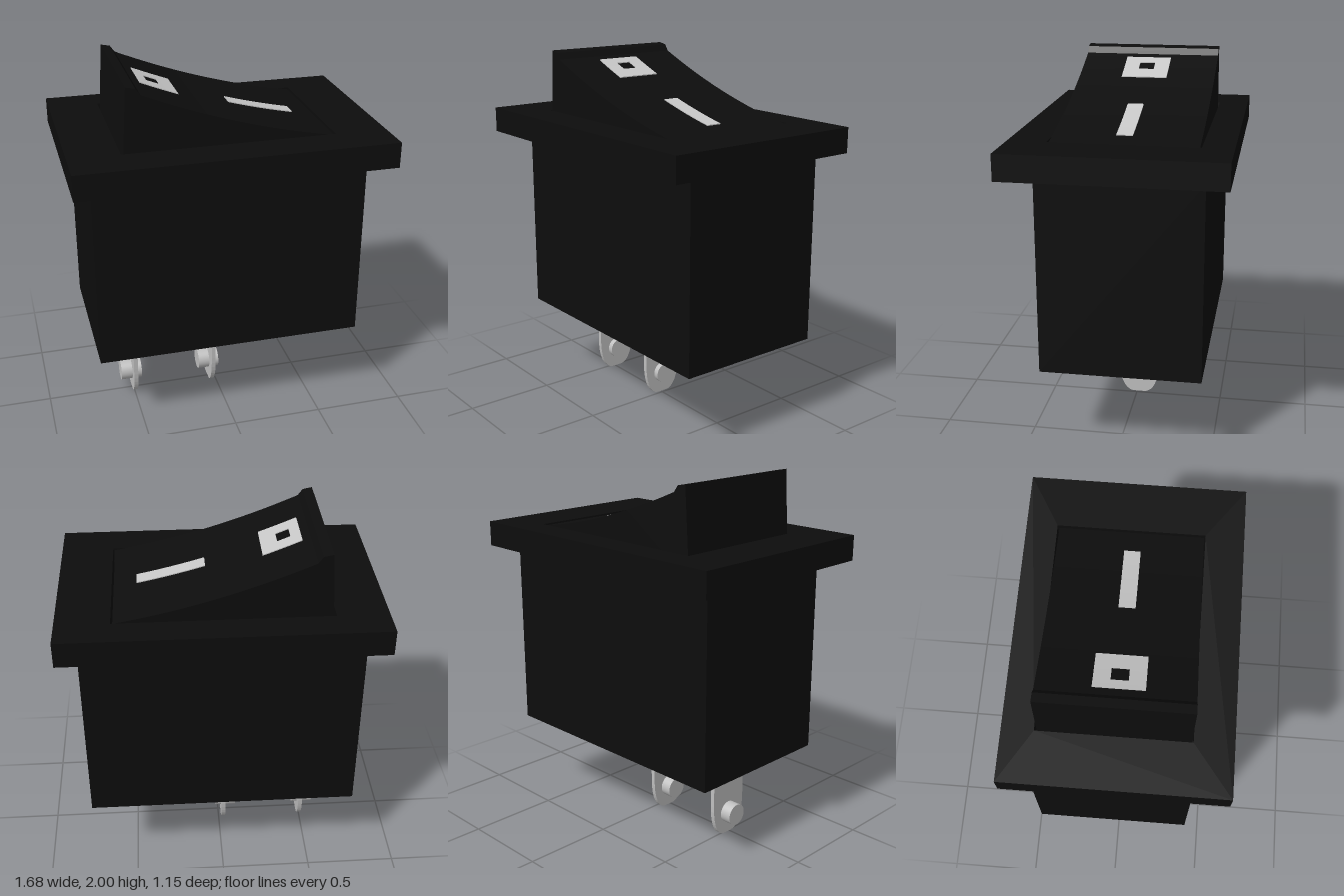
import * as THREE from 'three';

const black = new THREE.MeshStandardMaterial({ name: 'black plastic', color: 0x0d0d0d });
const white = new THREE.MeshStandardMaterial({ name: 'marking white', color: 0xc8c8c8 });
const metal = new THREE.MeshStandardMaterial({ name: 'terminal metal', color: 0xc0c0c0 });

// Height of the curved rocker face at x
const rockerTop = (x) => 1.785 - 0.311 * x + 0.129 * x * x;

// Points along the rocker face, raised by lift
function facePoints(x0, x1, steps, lift = 0) {
  return Array.from({ length: steps + 1 }, (_, i) => {
    const x = x0 + ((x1 - x0) * i) / steps;
    return new THREE.Vector2(x, rockerTop(x) + lift);
  });
}

// Extrude an x-y outline from z0 to z1
function extrudeZ(points, z0, z1) {
  return new THREE.ExtrudeGeometry(new THREE.Shape(points), { depth: z1 - z0, bevelEnabled: false }).translate(0, 0, z0);
}

function rectangle(x0, x1, y0, y1) {
  return [[x0, y0], [x1, y0], [x1, y1], [x0, y1]].map(([x, y]) => new THREE.Vector2(x, y));
}

export function createModel() {
  const model = new THREE.Group();
  model.name = 'rockerSwitch';
  const add = (name, geometry, material, parent = model) => {
    const mesh = new THREE.Mesh(geometry, material);
    mesh.name = name;
    parent.add(mesh);
    return mesh;
  };

  // Housing below the panel
  add('housing', new THREE.BoxGeometry(1.47, 1.055, 0.85).translate(0, 0.9975, -0.025), black);

  // Flange with an opening for the rocker
  const frame = new THREE.Shape(rectangle(-0.84, 0.84, -0.573, 0.573));
  frame.holes.push(new THREE.Path(rectangle(-0.57, 0.56, -0.37, 0.41)));
  const flange = new THREE.ExtrudeGeometry(frame, { depth: 0.138, bevelEnabled: false });
  add('flange', flange.rotateX(-Math.PI / 2).translate(0, 1.522, 0), black);

  // Rocker: steep back, narrow lip and a concave face
  const profile = [
    new THREE.Vector2(0.55, 1.525),
    ...facePoints(-0.46, 0.55, 24).reverse(),
    new THREE.Vector2(-0.485, 1.99),
    new THREE.Vector2(-0.535, 2),
    new THREE.Vector2(-0.565, 1.525),
  ];
  add('rocker', extrudeZ(profile, -0.4, 0.363), black);

  // Markings: thin strips that follow the rocker face
  const marking = (name, x0, x1, z0, z1) => {
    const outline = [...facePoints(x0, x1, 8, -0.002), ...facePoints(x0, x1, 8, 0.005).reverse()];
    add(name, extrudeZ(outline, z0, z1), white);
  };
  marking('onBar', 0.07, 0.43, -0.048, 0.038);
  marking('offRingLeft', -0.42, -0.37, -0.132, 0.122);
  marking('offRingRight', -0.302, -0.22, -0.132, 0.122);
  marking('offRingBack', -0.37, -0.302, -0.132, -0.048);
  marking('offRingFront', -0.37, -0.302, 0.038, 0.122);

  // Terminals: rounded blades with a pin through each
  const blade = new THREE.Shape();
  blade.moveTo(-0.118, 0.48);
  blade.lineTo(-0.118, 0.19);
  blade.bezierCurveTo(-0.118, 0.07, -0.08, 0, -0.03, 0);
  blade.lineTo(0.03, 0);
  blade.bezierCurveTo(0.08, 0, 0.118, 0.07, 0.118, 0.19);
  blade.lineTo(0.118, 0.48);
  const bladeGeometry = new THREE.ExtrudeGeometry(blade, { depth: 0.024, bevelEnabled: false, curveSegments: 10 })
    .rotateY(-Math.PI / 2)
    .translate(0.012, 0, 0);
  const pinGeometry = new THREE.CylinderGeometry(0.06, 0.06, 0.12, 32).rotateZ(Math.PI / 2);
  for (const x of [-0.497, -0.027]) {
    const terminal = new THREE.Group();
    terminal.name = 'terminal';
    terminal.position.set(x, 0, -0.012);
    add('blade', bladeGeometry, metal, terminal);
    add('pin', pinGeometry, metal, terminal).position.set(-0.016, 0.126, 0);
    model.add(terminal);
  }
  return model;
}
